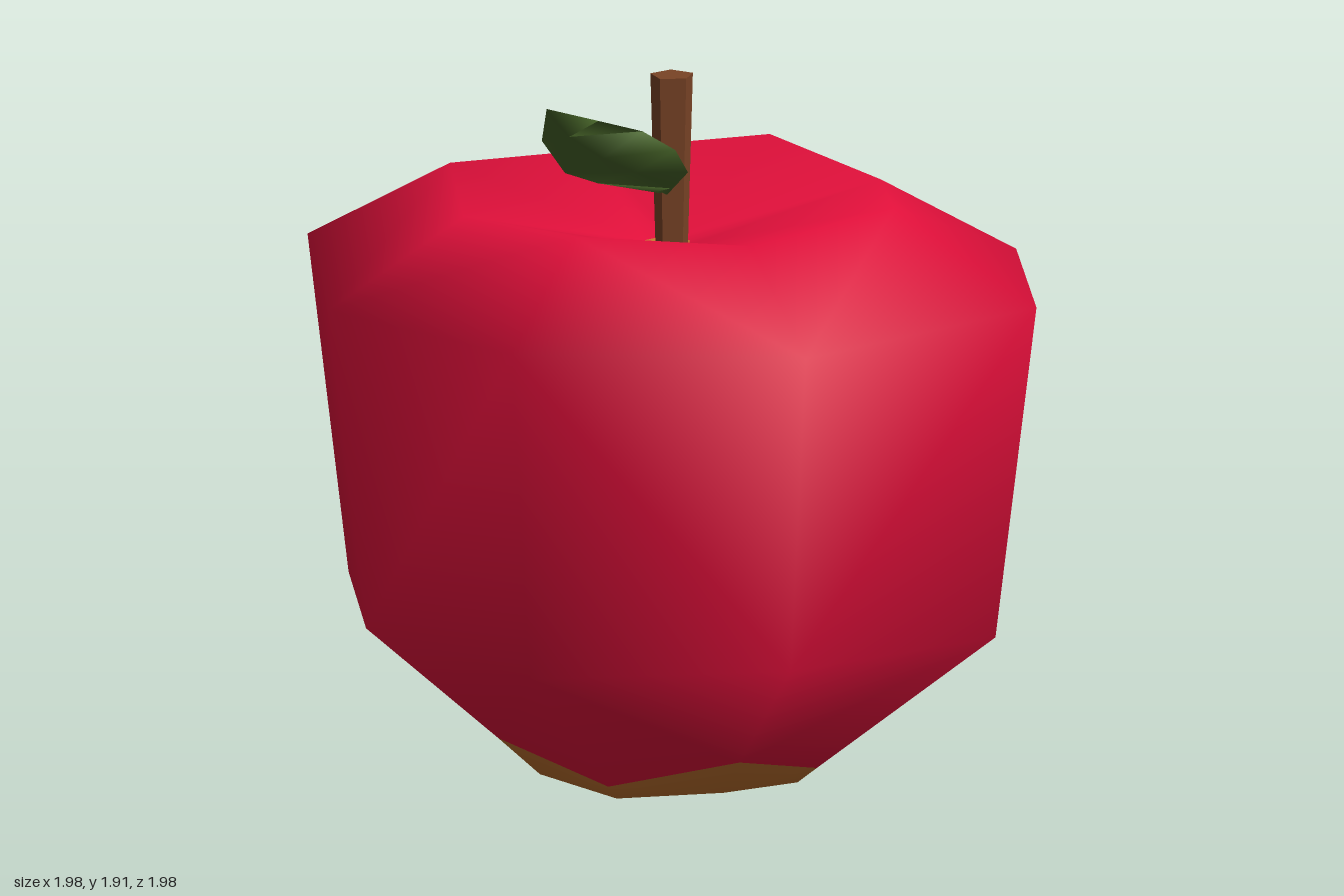
import * as THREE from 'three';

const mat = (name, color) => {
  const m = new THREE.MeshStandardMaterial({ color });
  m.name = name;
  return m;
};

// Indexed geometry with smooth normals
function smooth(points, index) {
  const g = new THREE.BufferGeometry();
  g.setAttribute('position', new THREE.Float32BufferAttribute(points, 3));
  g.setIndex(index);
  g.computeVertexNormals();
  return g;
}

// Eight-sided fruit lofted from rings, top dimple to bottom dimple.
// Ring: side radius, side height, corner x/z, corner height, z shift, material of the band below
function fruitGeometry() {
  const rings = [
    [0, 1.44, 0, 1.44, -0.035, 1],
    [0.065, 1.45, 0.046, 1.45, -0.035, 0],
    [0.6, 1.58, 0.46, 1.615, 0, 0],
    [0.99, 1.355, 0.755, 1.38, 0, 0],
    [0.88, 0.47, 0.67, 0.46, 0, 0],
    [0.5, 0.135, 0.3, 0.05, 0, 1],
    [0.38, 0.025, 0.26, 0.005, 0, 1],
    [0.18, 0.075, 0.13, 0.07, 0, 2],
    [0.025, 0.115, 0.018, 0.115, 0, 3],
    [0, 0.12, 0, 0.12, 0, 3],
  ];
  const points = [], index = [], groups = [];
  rings.forEach(([r, y, c, cy, dz]) => {
    for (let k = 0; k < 8; k++) {
      const a = (k * Math.PI) / 4, corner = k % 2 === 1;
      const radius = corner ? c * Math.SQRT2 : r;
      points.push(radius * Math.sin(a), corner ? cy : y, radius * Math.cos(a) + dz);
    }
  });
  for (let i = 0; i < rings.length - 1; i++) {
    const start = index.length;
    for (let k = 0; k < 8; k++) {
      const n = (k + 1) % 8;
      const a = i * 8 + k, b = i * 8 + n, c = a + 8, d = b + 8;
      // keep the diagonals mirrored on neighbouring faces
      if (k % 2) index.push(a, c, d, a, d, b);
      else index.push(a, c, b, b, c, d);
    }
    groups.push([start, index.length - start, rings[i][5]]);
  }
  const g = smooth(points, index);
  groups.forEach((q) => g.addGroup(...q));
  return g;
}

// Thin lens-shaped leaf: pairs of edge points with a raised rib on both faces
function leafGeometry() {
  const stations = [
    [[-0.03, 1.6, 0.04], [-0.03, 1.6, 0.03]],
    [[-0.02, 1.69, 0.17], [-0.05, 1.6, 0]],
    [[-0.08, 1.77, 0.23], [-0.2, 1.63, -0.035]],
    [[-0.19, 1.84, 0.27], [-0.3, 1.67, -0.02]],
    [[-0.31, 1.875, 0.253], [-0.39, 1.78, 0.04]],
    [[-0.45, 1.915, 0.23], [-0.45, 1.915, 0.23]],
  ];
  const up = new THREE.Vector3(0.325, 0.764, -0.55).normalize();
  const points = [], index = [];
  stations.forEach(([p, q], i) => {
    const a = new THREE.Vector3(...p), b = new THREE.Vector3(...q);
    const mid = a.clone().lerp(b, 0.5);
    const h = i === 0 || i === 5 ? 0 : 0.018;
    const section = [a, mid.clone().addScaledVector(up, h), b, mid.clone().addScaledVector(up, -h)];
    section.forEach((v) => points.push(v.x, v.y, v.z));
  });
  for (let i = 0; i < stations.length - 1; i++) {
    for (let k = 0; k < 4; k++) {
      const n = (k + 1) % 4;
      const a = i * 4 + k, b = i * 4 + n, c = a + 4, d = b + 4;
      index.push(a, c, b, b, c, d);
    }
  }
  return smooth(points, index);
}

export function createModel() {
  const red = mat('red skin', 0xe3103b);
  const tan = mat('tan hollow', 0xc4742f);
  const olive = mat('olive base', 0xa8a834);
  const dark = mat('dark core', 0x3a3a18);
  const bark = mat('brown stem', 0x7a4426);
  const green = mat('green leaf', 0x49672a);
  green.side = THREE.DoubleSide;

  const model = new THREE.Group();
  const add = (name, geometry, material) => {
    const mesh = new THREE.Mesh(geometry, material);
    mesh.name = name;
    model.add(mesh);
    return mesh;
  };

  add('fruit', fruitGeometry(), [red, tan, olive, dark]);

  // Five-sided stem with flat faces, slightly wider at the top
  const stem = new THREE.CylinderGeometry(0.06, 0.045, 0.5, 5, 1, false, Math.PI / 2).toNonIndexed();
  stem.computeVertexNormals();
  add('stem', stem, bark).position.y = 1.67;

  add('leaf', leafGeometry(), green);
  return model;
}
